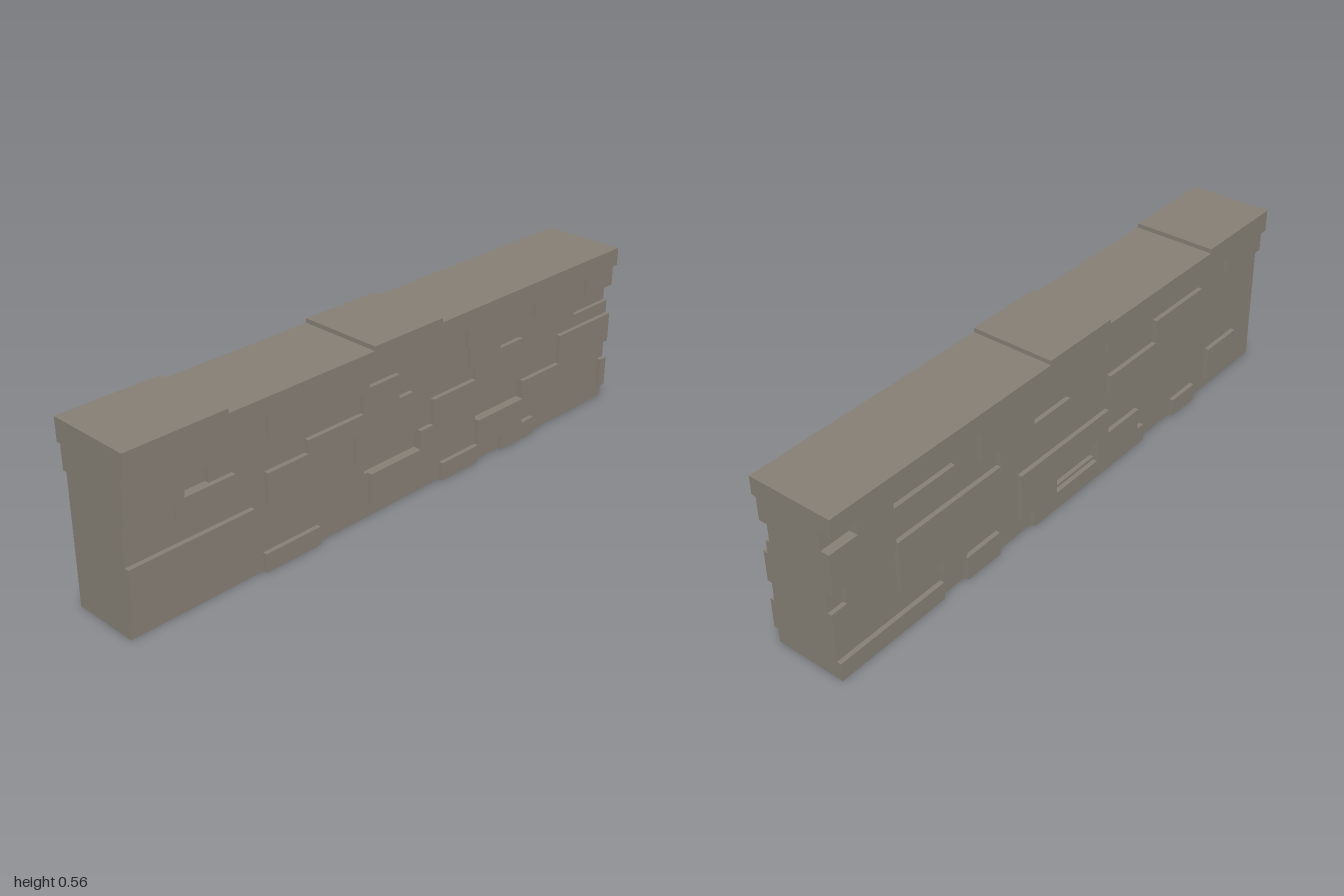
import * as THREE from 'three';

const stone = new THREE.MeshStandardMaterial({ color: 0x857e74 });
stone.name = 'greyStone';

const WALL_TOP = 0.487, CORE = 0.096, FACE = 0.11, RAISED = 0.125, CAP = 0.14;

// Box given by its limits on each axis
function block(parent, name, x0, x1, y0, y1, z0, z1) {
  const mesh = new THREE.Mesh(new THREE.BoxGeometry(x1 - x0, y1 - y0, z1 - z0), stone);
  mesh.position.set((x0 + x1) / 2, (y0 + y1) / 2, (z0 + z1) / 2);
  mesh.name = name;
  parent.add(mesh);
}

// One side of the wall: a facing with sunken gaps, plus raised stones
function wallSide(name, side, bands, stones) {
  const group = new THREE.Group();
  group.name = name;
  const slab = (part, x0, x1, y0, y1, a, b) =>
    block(group, part, x0, x1, y0, y1, Math.min(a * side, b * side), Math.max(a * side, b * side));

  let y = 0;
  for (const [y0, y1, gaps] of bands) {
    if (y0 > y) slab('facing', -1, 1, y, y0, CORE, FACE);
    let x = -1;
    for (const [g0, g1] of gaps) {
      if (g0 > x) slab('facing', x, g0, y0, y1, CORE, FACE);
      x = g1;
    }
    if (x < 1) slab('facing', x, 1, y0, y1, CORE, FACE);
    y = y1;
  }
  if (y < WALL_TOP) slab('facing', -1, 1, y, WALL_TOP, CORE, FACE);

  for (const [x0, x1, y0, y1] of stones) slab('raisedStone', x0, x1, y0, y1, FACE, RAISED);
  return group;
}

// Sunken gaps: y range, then x ranges from left to right
const frontBands = [
  [0.147, 0.21, [[-0.15, 0.075], [0.34, 0.555]]],
  [0.353, 0.413, [[-0.81, -0.72], [0.82, 1]]],
];
const backBands = [
  [0.07, 0.135, [[-0.105, 0.095]]],
  [0.222, 0.295, [[0.945, 1]]],
  [0.427, WALL_TOP, [[0.9, 1]]],
];

// Raised stones: x0, x1, y0, y1
const frontStones = [
  // upper left cluster
  [-1, -0.61, 0.413, WALL_TOP], [-0.61, -0.58, 0.472, WALL_TOP],
  [-1, -0.81, 0.343, 0.413], [-0.84, -0.64, 0.295, 0.353],
  // lower left cluster
  [-1, -0.58, 0.135, 0.22], [-1, -0.87, 0.05, 0.135],
  [-0.545, -0.34, 0, 0.06],
  // centre cluster
  [-0.52, -0.14, 0.413, WALL_TOP], [-0.14, 0.17, 0.472, WALL_TOP],
  [-0.165, -0.02, 0.353, 0.43], [-0.38, 0.04, 0.295, 0.353],
  [-0.53, -0.33, 0.21, 0.31], [-0.195, -0.045, 0.21, 0.295],
  [-0.135, 0.1, 0.047, 0.147], [0.075, 0.22, 0.135, 0.21],
  [0.175, 0.34, 0, 0.06],
  // right cluster
  [0.28, 0.455, 0.413, WALL_TOP], [0.455, 0.6, 0.472, WALL_TOP],
  [0.6, 0.76, 0.413, WALL_TOP], [0.295, 0.435, 0.34, 0.413],
  [0.32, 0.54, 0.295, 0.365], [0.13, 0.34, 0.21, 0.295],
  [0.34, 0.555, 0.05, 0.147], [0.455, 0.615, 0, 0.06],
  [0.555, 0.76, 0.135, 0.21],
  // right end
  [0.735, 1, 0.21, 0.31], [0.865, 1, 0.413, WALL_TOP],
  [0.84, 0.865, 0.472, WALL_TOP], [0.97, 1, 0.047, 0.147],
];
const backStones = [
  // left end seen from behind
  [0.77, 1, 0.295, 0.427], [0.77, 0.9, 0.427, WALL_TOP],
  [0.6, 1, 0, 0.06],
  [0.535, 0.77, 0.35, 0.427], [0.35, 0.765, 0.2, 0.31],
  [0.5, 0.765, 0.14, 0.2], [0.5, 0.6, 0.09, 0.14],
  // centre
  [0.2, 0.43, 0.37, WALL_TOP], [0.035, 0.35, 0.3, 0.37],
  [0.36, 0.5, 0, 0.08], [-0.16, 0.26, 0.135, 0.22],
  [0.095, 0.26, 0.06, 0.135], [-0.32, -0.105, 0.06, 0.135],
  [-0.35, 0.2, 0, 0.06],
  [-0.3, -0.15, 0.43, WALL_TOP],
  // right end seen from behind
  [-0.48, -0.165, 0.275, 0.34], [-0.65, -0.4, 0.34, 0.42],
  [-1, -0.8, 0.41, WALL_TOP],
  [-0.64, -0.52, 0, 0.06], [-0.88, -0.72, 0.04, 0.155],
];

export function createModel() {
  const wall = new THREE.Group();
  wall.name = 'stoneWall';
  block(wall, 'core', -1, 1, 0, WALL_TOP, -CORE, CORE);
  wall.add(wallSide('frontFace', 1, frontBands, frontStones));
  wall.add(wallSide('backFace', -1, backBands, backStones));

  // Coping with two slightly higher slabs
  for (const [x0, x1, top] of [
    [-1, -0.665, 0.56], [-0.665, -0.135, 0.546], [-0.135, 0.145, 0.56], [0.145, 1, 0.546],
  ]) block(wall, 'copingSlab', x0, x1, WALL_TOP, top, -CAP, CAP);
  return wall;
}
